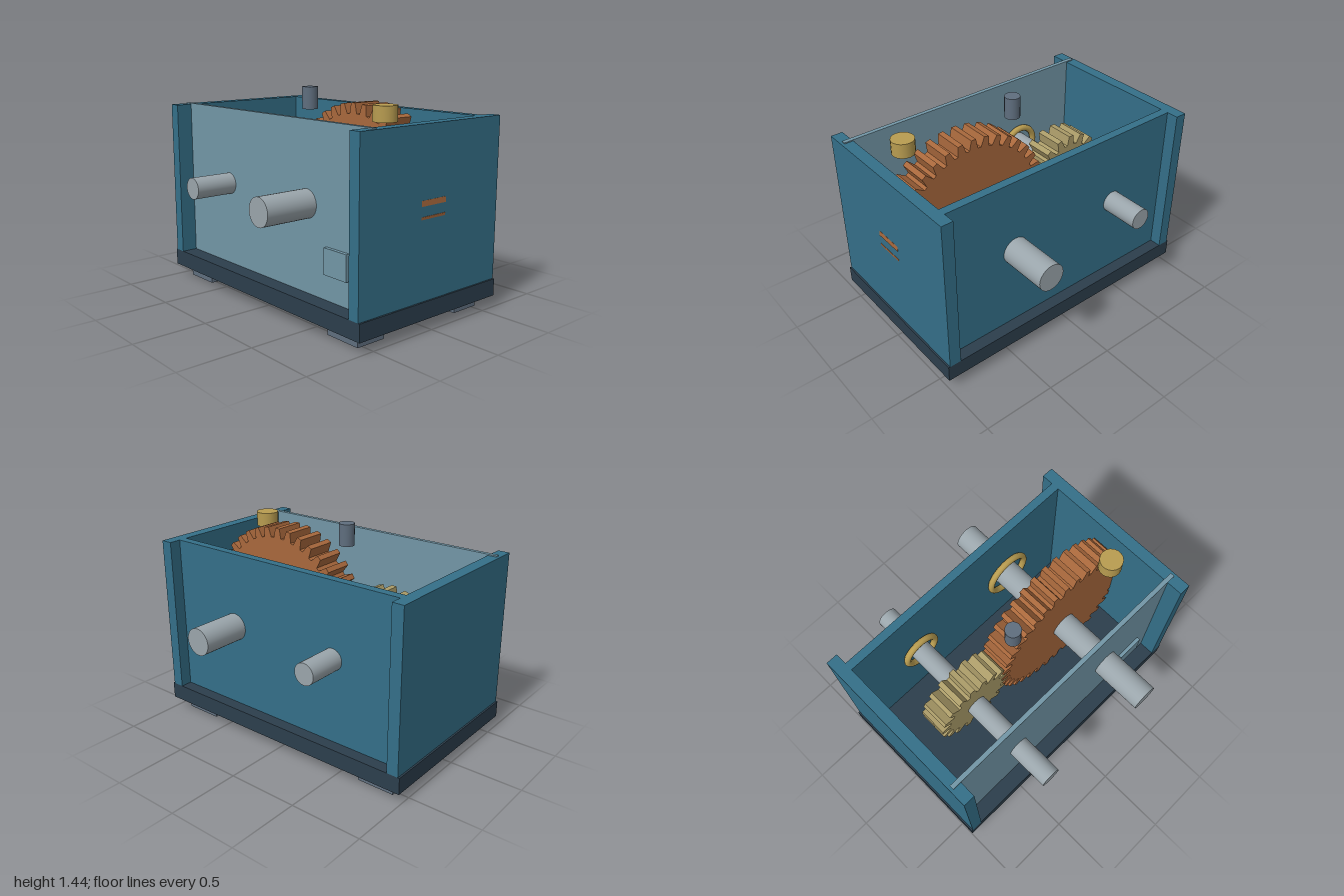
import * as THREE from 'three';

const material = (name, color) => {
  const m = new THREE.MeshStandardMaterial({ color });
  m.name = name;
  return m;
};

export function createModel() {
  const teal = material('teal housing', 0x346f88);
  const pale = material('pale blue panel', 0x7296a6);
  const navy = material('dark base', 0x2c3e4c);
  const slate = material('slate grey', 0x5f6e7e);
  const steel = material('steel', 0x9aa5ab);
  const copper = material('copper', 0xa8683c);
  const khaki = material('khaki brass', 0xaa9b68);
  const gold = material('gold brass', 0xb89c50);

  const model = new THREE.Group();
  model.name = 'gearbox';

  const add = (name, geometry, mat, x, y, z) => {
    const mesh = new THREE.Mesh(geometry, mat);
    mesh.name = name;
    mesh.position.set(x, y, z);
    model.add(mesh);
    return mesh;
  };
  // Box given by its limits on each axis
  const box = (name, mat, [x0, x1], [y0, y1], [z0, z1]) =>
    add(name, new THREE.BoxGeometry(x1 - x0, y1 - y0, z1 - z0), mat,
      (x0 + x1) / 2, (y0 + y1) / 2, (z0 + z1) / 2);

  // Spur gear with trapezoid teeth; phase is the angle of the first tooth
  const gear = (name, mat, x, teeth, tip, root, halfWidth, phase) => {
    const shape = new THREE.Shape();
    const step = (Math.PI * 2) / teeth;
    for (let i = 0; i < teeth; i++) {
      [[-0.36, root], [-0.177, tip], [0.177, tip], [0.36, root]].forEach(([f, r], k) => {
        const a = phase + (i + f) * step;
        const p = [r * Math.cos(a), r * Math.sin(a)];
        if (i + k === 0) shape.moveTo(...p);
        else shape.lineTo(...p);
      });
    }
    shape.closePath();
    const g = new THREE.ExtrudeGeometry(shape, { depth: halfWidth * 2, bevelEnabled: false });
    g.translate(0, 0, -halfWidth);
    add(name, g, mat, x, axisY, 0);
  };

  const axisY = 0.77, smallX = -0.43, largeX = 0.4025;

  // Base and feet
  box('base', navy, [-1, 1], [0.08, 0.195], [-0.612, 0.612]);
  for (const sx of [-1, 1]) {
    for (const sz of [-1, 1]) {
      add('foot', new THREE.BoxGeometry(0.265, 0.08, 0.215), slate, sx * 0.775, 0.04, sz * 0.43);
    }
  }

  // Housing, open at the top
  box('leftWall', teal, [0.907, 0.988], [0.195, 1.28], [-0.612, 0.612]);
  box('rightWall', teal, [-0.988, -0.907], [0.195, 1.28], [-0.612, 0.612]);
  box('backWall', teal, [-0.907, 0.907], [0.195, 1.28], [-0.53, -0.472]);
  box('frontPanel', pale, [-0.968, 0.968], [0.195, 1.288], [0.47, 0.5]);
  box('namePlate', pale, [0.59, 0.79], [0.365, 0.535], [0.5, 0.525]);

  // Shafts, each with a bearing ring at both walls
  for (const [x, r, length, ring] of [[smallX, 0.073, 1.595, 0.125], [largeX, 0.093, 1.73, 0.16]]) {
    const shaft = add('shaft', new THREE.CylinderGeometry(r, r, length, 32), steel, x, axisY, 0);
    shaft.rotation.x = Math.PI / 2;
    for (const z of [-0.446, 0.441]) {
      add('bearingRing', new THREE.TorusGeometry(ring, 0.023, 12, 36), gold, x, axisY, z);
    }
  }

  // Meshing gears
  gear('largeGear', copper, largeX, 37, 0.589, 0.521, 0.106, 0.0646);
  gear('pinion', khaki, smallX, 18, 0.304, 0.236, 0.1, 0.217);

  // Breather pin and filler cap
  add('breatherPin', new THREE.CylinderGeometry(0.053, 0.053, 0.15, 20), slate, -0.065, 1.36, 0.08);
  add('fillerCap', new THREE.CylinderGeometry(0.077, 0.077, 0.1, 18), gold, 0.73, 1.325, 0.162);

  return model;
}
